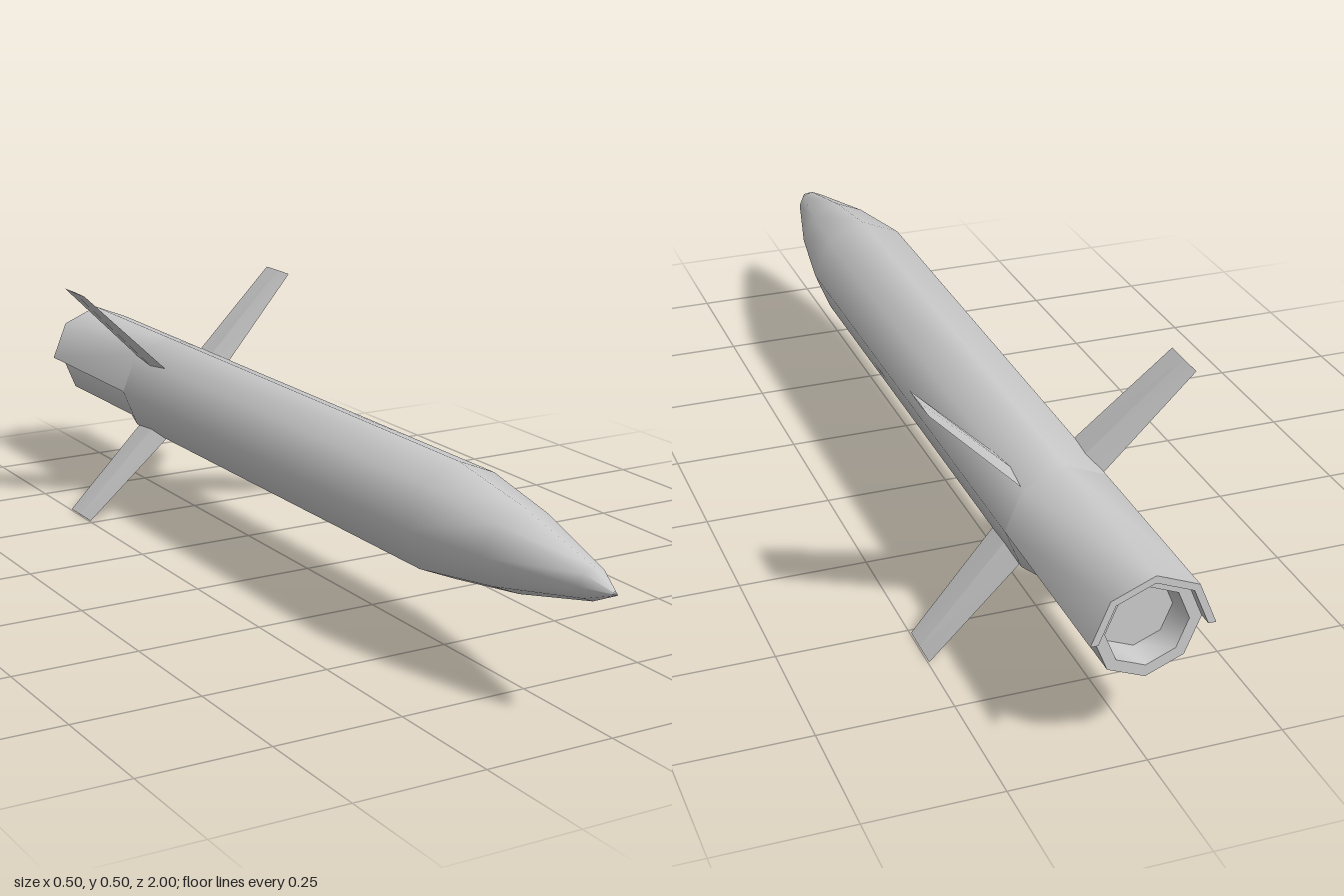
import * as THREE from 'three';
import { toCreasedNormals } from 'three/addons/utils/BufferGeometryUtils.js';

const R = 0.111;      // main body radius
const R_TAIL = 0.097; // slimmer tail tube radius
const CENTER_Y = 0.248;
const SIDES = 8;

const material = new THREE.MeshStandardMaterial({ color: 0xcccccc });

function addMesh(parent, name, geometry) {
  const mesh = new THREE.Mesh(geometry, material);
  mesh.name = name;
  parent.add(mesh);
  return mesh;
}

// Turn a [radius, z] profile (listed tail to nose) around the z axis.
function turned(profile, segments = SIDES, start = 0, sweep = Math.PI * 2) {
  const points = profile.map(([r, z]) => new THREE.Vector2(r, z));
  const geometry = new THREE.LatheGeometry(points, segments, start, sweep);
  geometry.rotateX(Math.PI / 2);
  return toCreasedNormals(geometry, 0.9);
}

// Diamond-section fin pointing up, shaped from a four-sided cylinder.
function finGeometry() {
  const root = { y: 0.105, front: -0.475, back: -0.61, half: 0.007 };
  const tip = { y: 0.35, front: -0.51, back: -0.61, half: 0.001 };
  const geometry = new THREE.CylinderGeometry(1, 1, 1, 4, 1);
  const p = geometry.attributes.position;
  for (let i = 0; i < p.count; i++) {
    const s = p.getY(i) > 0 ? tip : root;
    const middle = (s.front + s.back) / 2;
    const halfChord = (s.front - s.back) / 2;
    p.setXYZ(i, p.getX(i) * s.half, s.y, middle + p.getZ(i) * halfChord);
  }
  return toCreasedNormals(geometry, 0.1);
}

export function createModel() {
  const model = new THREE.Group();
  model.name = 'rocket';
  model.position.y = CENTER_Y;

  // Recessed nozzle, tail tube, tapered shoulder, body and nose
  addMesh(model, 'body', turned([
    [0, -0.925], [0.068, -0.925], [0.075, -0.975], [R_TAIL, -0.975],
    [R_TAIL, -0.67], [R, -0.62], [R, 0.535], [0.08, 0.73], [0.03, 0.935], [0, 1],
  ]));

  // Half shell covering the top of the tail tube
  const shell = new THREE.Group();
  shell.name = 'tailShell';
  model.add(shell);
  addMesh(shell, 'shellWall', turned([
    [R_TAIL, -0.62], [R_TAIL, -1], [R, -1], [R, -0.62],
  ], SIDES / 2, Math.PI / 2, Math.PI));
  for (const side of [-1, 1]) {
    const ledge = new THREE.PlaneGeometry(R - R_TAIL, 0.38).rotateX(Math.PI / 2);
    addMesh(shell, 'shellLedge', ledge).position.set(side * (R + R_TAIL) / 2, 0, -0.81);
  }

  // Four fins on the diagonals
  const fin = finGeometry();
  for (let i = 0; i < 4; i++) {
    addMesh(model, 'fin', fin).rotation.z = Math.PI / 4 + i * Math.PI / 2;
  }

  const root = new THREE.Group();
  root.add(model);
  return root;
}
